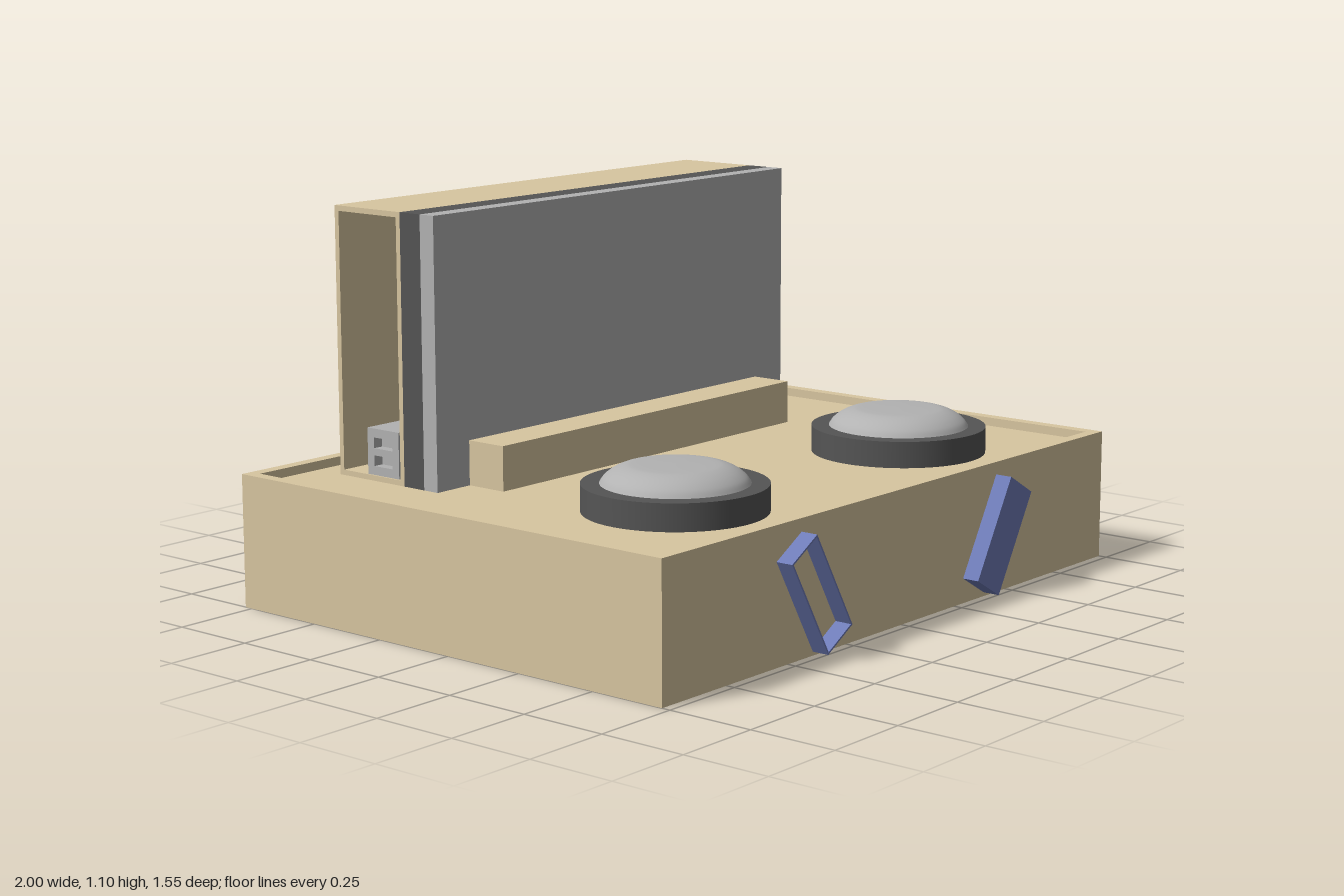
import * as THREE from 'three';

const mat = (color) => new THREE.MeshStandardMaterial({ color });
const TAN = mat(0xd8c6a0), GREY = mat(0xb2b2b2), DARK = mat(0x555555), BLUE = mat(0x6f7cb8);

export function createModel() {
  const model = new THREE.Group();

  const add = (name, geometry, material, parent = model) => {
    const mesh = new THREE.Mesh(geometry, material);
    mesh.name = name;
    parent.add(mesh);
    return mesh;
  };
  // box given by its limits on each axis
  const box = (name, material, x0, x1, y0, y1, z0, z1, parent) => {
    const mesh = add(name, new THREE.BoxGeometry(x1 - x0, y1 - y0, z1 - z0), material, parent);
    mesh.position.set((x0 + x1) / 2, (y0 + y1) / 2, (z0 + z1) / 2);
    return mesh;
  };
  const rect = (path, x0, x1, y0, y1) =>
    path.moveTo(x0, y0).lineTo(x1, y0).lineTo(x1, y1).lineTo(x0, y1).closePath();
  // rectangular plate with rectangular holes, extruded along +z
  const frame = (outer, holes, depth) => {
    const shape = rect(new THREE.Shape(), ...outer);
    holes.forEach((h) => shape.holes.push(rect(new THREE.Path(), ...h)));
    return new THREE.ExtrudeGeometry(shape, { depth, bevelEnabled: false });
  };

  // base: solid block with a raised lip round a shallow tray
  const FLOOR = 0.35;
  box('baseBlock', TAN, -1, 1, 0, FLOOR, -0.775, 0.725);
  const lip = add('baseLip', frame([-1, 1, -0.725, 0.775], [[-0.965, 0.965, -0.69, 0.74]], 0.025), TAN);
  lip.rotation.x = -Math.PI / 2;
  lip.position.y = FLOOR;

  // upright screen, its backing and the ledge in front
  box('ledge', TAN, -0.625, 0.625, FLOOR, 0.475, -0.275, -0.15);
  box('screen', GREY, -0.75, 0.75, FLOOR, 1.1, -0.325, -0.275);
  box('screenBacking', DARK, -0.75, 0.75, FLOOR, 1.1, -0.4, -0.325);

  // hollow rear housing, open at its -x end
  const housing = new THREE.Group();
  housing.name = 'rearHousing';
  model.add(housing);
  const W = 0.015;
  const shell = add('housingShell',
    frame([0.4, 0.65, FLOOR, 1.1], [[0.4 + W, 0.65 - W, FLOOR + W, 1.1 - W]], 1.5 - W), TAN, housing);
  shell.rotation.y = Math.PI / 2;
  shell.position.x = -0.75;
  shell.position.z = 0;
  box('housingEnd', TAN, 0.75 - W, 0.75, FLOOR, 1.1, -0.65, -0.4, housing);

  // socket block with two slots, seen through the open end
  const Y = FLOOR + W;
  const face = add('socketFace',
    frame([0.425, 0.545, Y, Y + 0.13], [[0.45, 0.52, Y + 0.025, Y + 0.055], [0.45, 0.52, Y + 0.075, Y + 0.105]], 0.03),
    GREY, housing);
  face.rotation.y = Math.PI / 2;
  face.position.x = -0.745;
  box('socketBody', GREY, -0.715, -0.53, Y, Y + 0.13, -0.545, -0.425, housing);

  // pair of round push buttons: dark collar and smooth cap
  const cap = new THREE.SplineCurve([
    [0.2, 0.075], [0.188, 0.092], [0.165, 0.109], [0.135, 0.121], [0.1, 0.125], [0, 0.127],
  ].map(([r, y]) => new THREE.Vector2(r, y))).getPoints(24);
  cap[cap.length - 1].x = 0;
  for (const side of [-1, 1]) {
    const button = new THREE.Group();
    button.name = side > 0 ? 'leftButton' : 'rightButton';
    button.position.set(side * 0.5, FLOOR, 0.35);
    model.add(button);
    add('collar', new THREE.CylinderGeometry(0.25, 0.25, 0.075, 64), DARK, button).position.y = 0.0375;
    add('cap', new THREE.LatheGeometry(cap, 64), GREY, button);
  }

  // slanted front markers: one solid, one an open frame
  const solid = add('leftMarker', new THREE.BoxGeometry(0.12, 0.31, 0.05), BLUE);
  solid.position.set(0.42, 0.175, 0.75);
  solid.rotation.z = -Math.PI / 6;
  const open = add('rightMarker',
    frame([-0.06, 0.06, -0.155, 0.155], [[-0.055, 0.055, -0.15, 0.15]], 0.05), BLUE);
  open.position.set(-0.42, 0.175, 0.725);
  open.rotation.z = Math.PI / 6;

  return model;
}
